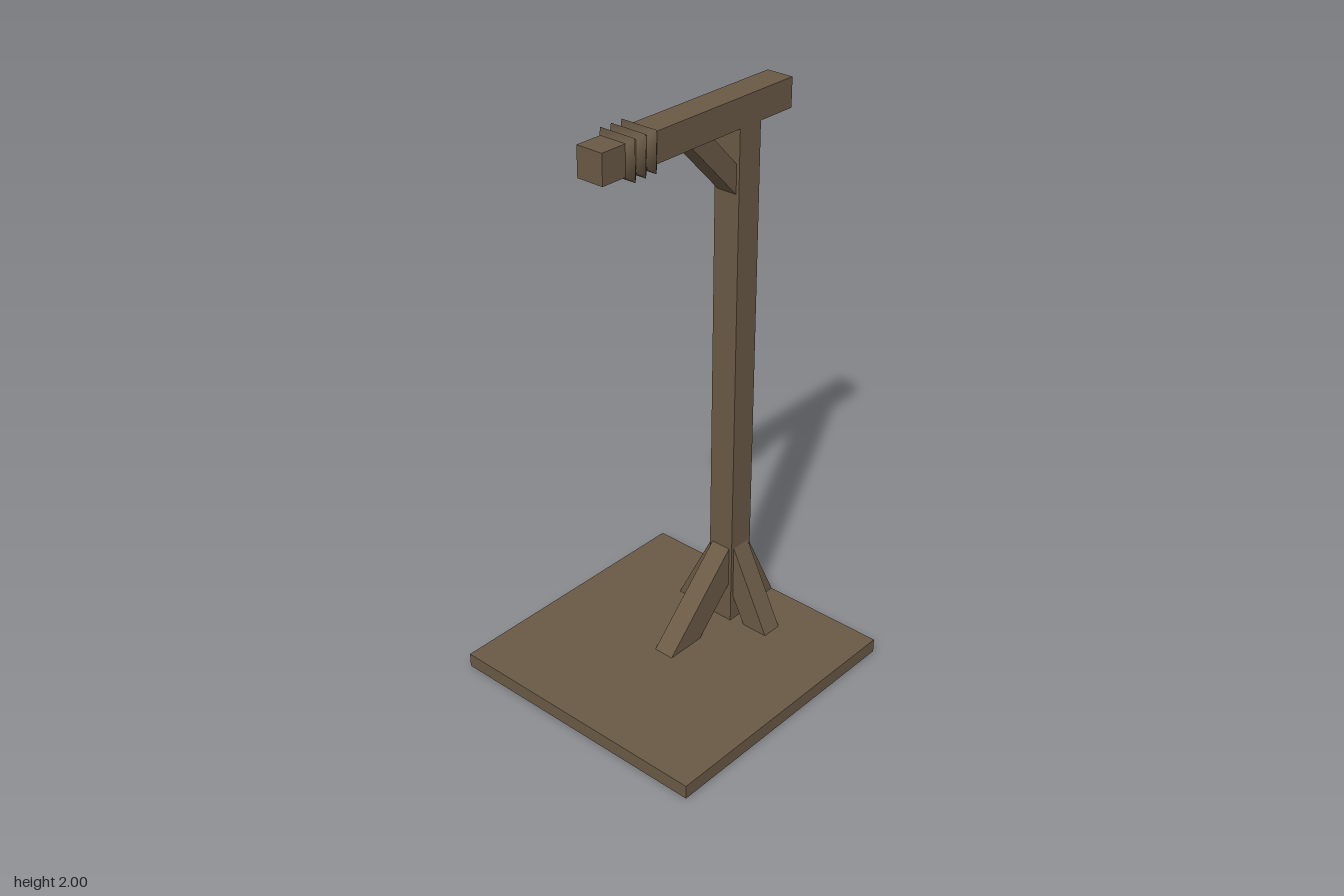
import * as THREE from 'three';

export function createModel() {
  const model = new THREE.Group();
  model.name = 'hangingPost';
  const wood = new THREE.MeshStandardMaterial({ color: 0x6a5a45, side: THREE.DoubleSide });
  wood.name = 'brown wood';

  const HALF = 0.049;   // half thickness of post and beam
  const POST_Z = -0.297;

  function add(name, geometry, x, y, z) {
    const mesh = new THREE.Mesh(geometry, wood);
    mesh.name = name;
    mesh.position.set(x, y, z);
    model.add(mesh);
    return mesh;
  }

  // Base slab, hollow underneath
  const slab = new THREE.BoxGeometry(0.99, 0.05, 0.99);
  const index = Array.from(slab.index.array);
  index.splice(18, 6); // remove the bottom face
  slab.setIndex(index);
  slab.clearGroups();
  add('base', slab, 0, 0.025, 0);

  // Upright post and the beam on top of it
  add('post', new THREE.BoxGeometry(HALF * 2, 1.835, HALF * 2), 0, 0.9675, POST_Z);
  add('beam', new THREE.BoxGeometry(HALF * 2, 0.1, 0.845), 0, 1.935, -0.0725);

  // Diagonal braces: outline in (distance from post centre, height), turned around the post
  function brace(name, corners, turn) {
    const shape = new THREE.Shape(corners.map(([x, y]) => new THREE.Vector2(x, y)));
    const geometry = new THREE.ExtrudeGeometry(shape, { depth: 0.075, bevelEnabled: false });
    geometry.translate(0, 0, -0.0375);
    add(name, geometry, 0, 0, POST_Z).rotation.y = turn;
  }
  const steep = [[HALF, 0.15], [0.1, 0.05], [0.198, 0.05], [HALF, 0.35]];
  brace('leftBrace', steep, 0);
  brace('rightBrace', steep, Math.PI);
  brace('backBrace', steep, Math.PI / 2);
  brace('frontBrace', [[HALF, 0.2], [0.198, 0.05], [0.347, 0.05], [HALF, 0.35]], -Math.PI / 2);
  brace('beamBrace', [[HALF, 1.67], [0.26, 1.885], [0.16, 1.885], [HALF, 1.77]], -Math.PI / 2);

  // Three square rope coils wound round the beam
  const step = 0.044;
  for (let i = 0; i < 3; i++) {
    const profile = [[0.05, 0], [0.067, step / 2], [0.05, step]]
      .map(([r, y]) => new THREE.Vector2(r * Math.SQRT2, y));
    const coil = new THREE.LatheGeometry(profile, 4);
    coil.rotateY(Math.PI / 4);
    coil.rotateX(Math.PI / 2);
    add('ropeCoil' + (i + 1), coil, 0, 1.933, 0.125 + i * step);
  }
  return model;
}
